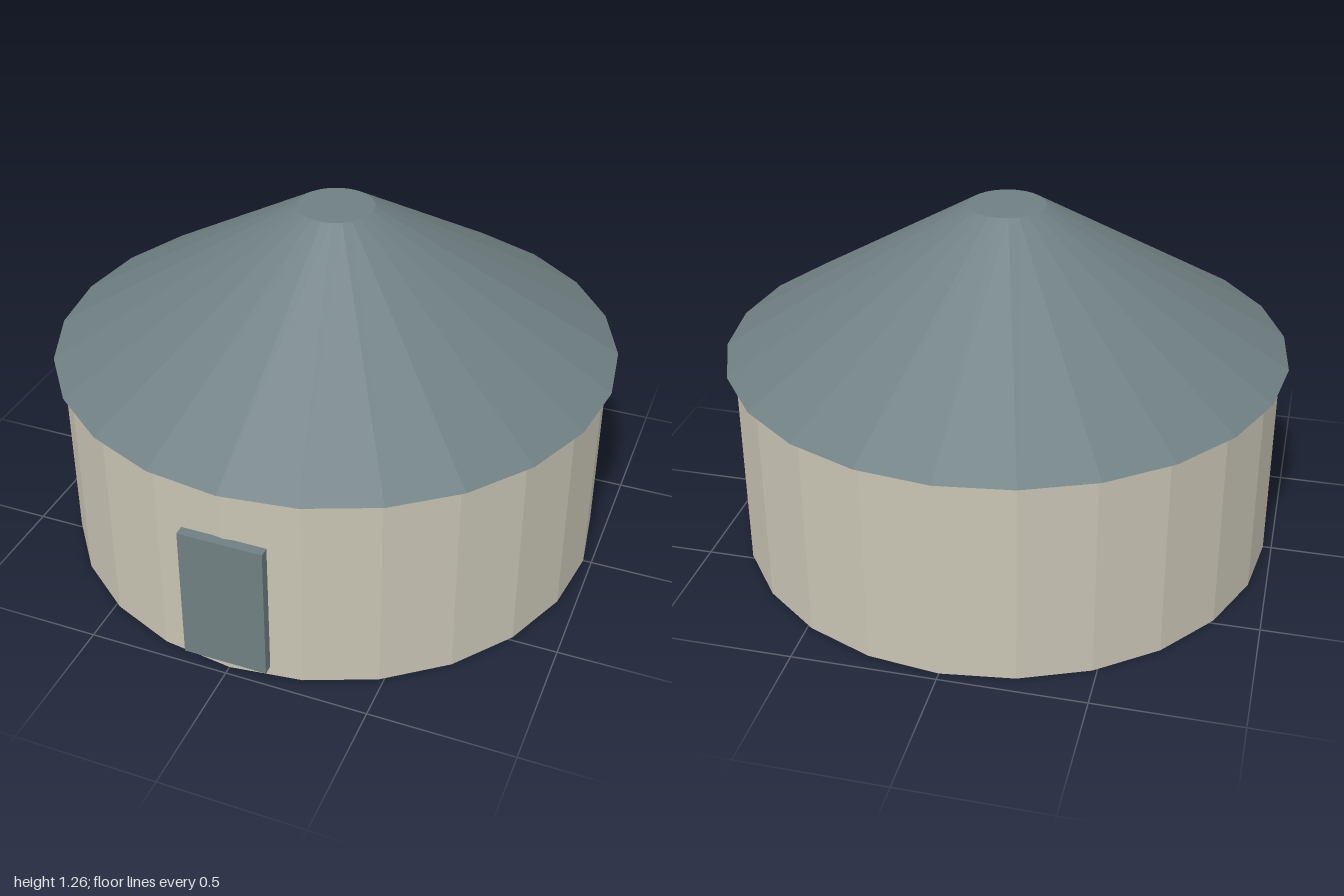
import * as THREE from 'three';

export function createModel() {
  const group = new THREE.Group();
  const plaster = new THREE.MeshStandardMaterial({ color: 0xc8c4b4, flatShading: true });
  plaster.name = 'beige plaster';
  const slate = new THREE.MeshStandardMaterial({ color: 0x6f7f82, flatShading: true });
  slate.name = 'blue grey metal';

  const add = (name, geometry, material, y, z = 0) => {
    const mesh = new THREE.Mesh(geometry, material);
    mesh.name = name;
    mesh.position.set(0, y, z);
    group.add(mesh);
  };

  const sides = 24;
  const wallHeight = 0.74;
  const roofHeight = 0.525;

  // Round wall, closed by its floor
  add('wall', new THREE.CylinderGeometry(0.97, 0.97, wallHeight, sides), plaster, wallHeight / 2);

  // Truncated cone roof with a small overhang and a flat cap
  add('roof', new THREE.CylinderGeometry(0.135, 1, roofHeight, sides), slate, wallHeight + roofHeight / 2);

  // Door slab standing proud of the wall at the front
  add('door', new THREE.BoxGeometry(0.295, 0.5, 0.035), slate, 0.3, 0.9825);

  return group;
}
